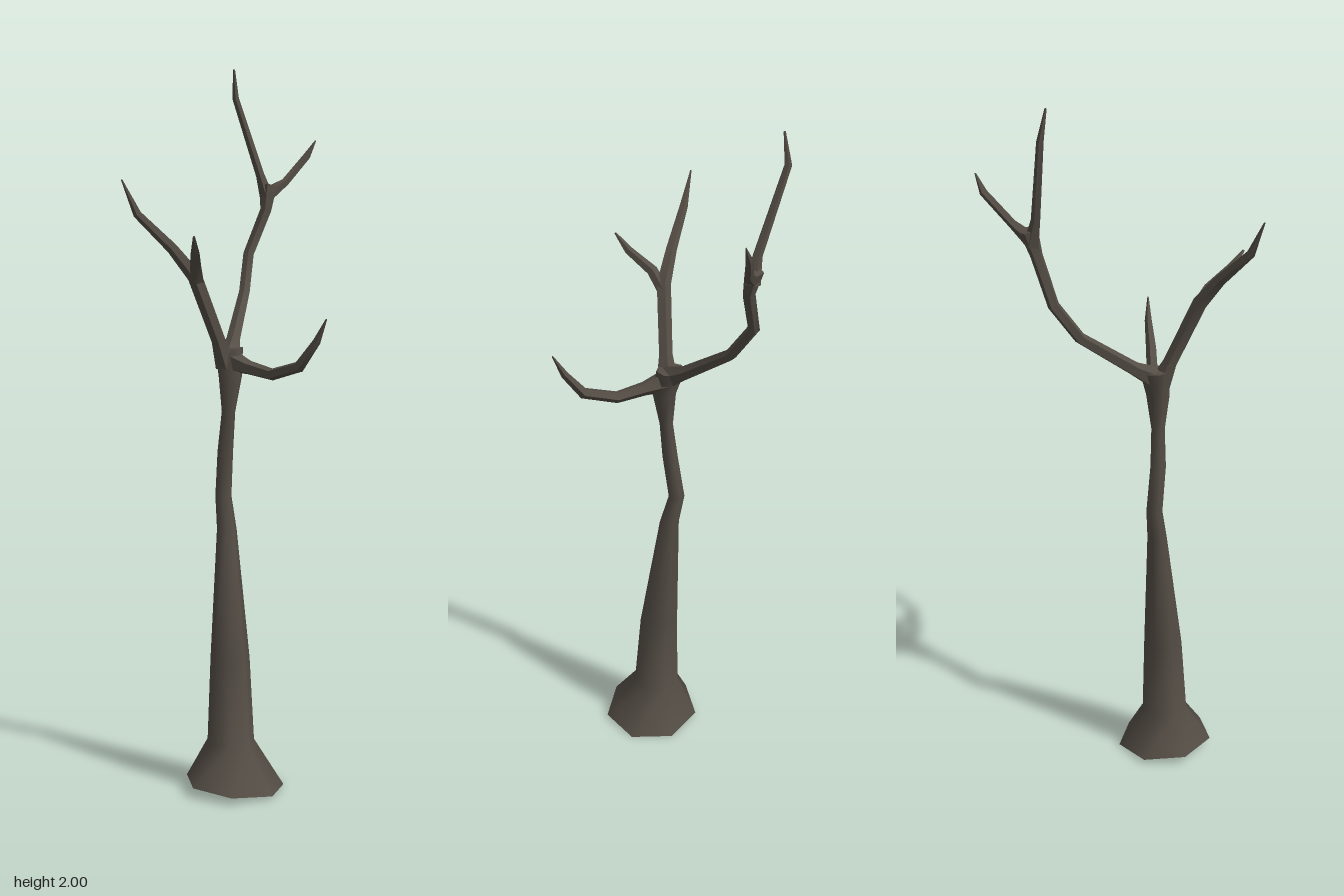
import * as THREE from 'three';
import { toCreasedNormals } from 'three/addons/utils/BufferGeometryUtils.js';

const bark = new THREE.MeshStandardMaterial({ color: 0x544d45 });
bark.name = 'bark';

// Sweeps a polygon ring along points [x, y, z, radius]; level keeps every ring horizontal.
function limb(name, path, sides, { phase = 0, level = false, shape } = {}) {
  const centres = path.map(([x, y, z]) => new THREE.Vector3(x, y, z));
  const last = centres.length - 1;
  const tangent = new THREE.Vector3(0, 1, 0);
  const u = new THREE.Vector3(1, 0, 0);
  const rings = centres.map((c, i) => {
    if (!level) {
      const next = centres[Math.min(i + 1, last)].clone().sub(centres[Math.min(i, last - 1)]).normalize();
      if (i > 0 && i < last) next.add(c.clone().sub(centres[i - 1]).normalize()).normalize();
      u.applyQuaternion(new THREE.Quaternion().setFromUnitVectors(tangent, next));
      tangent.copy(next);
    }
    const v = new THREE.Vector3().crossVectors(tangent, u);
    return Array.from({ length: sides }, (_, k) => {
      const a = phase + (k / sides) * Math.PI * 2;
      const p = c.clone()
        .addScaledVector(u, Math.cos(a) * path[i][3])
        .addScaledVector(v, Math.sin(a) * path[i][3]);
      if (shape) shape(p, i);
      return p;
    });
  });

  const pos = [];
  const tri = (...corners) => corners.forEach((p) => pos.push(p.x, p.y, p.z));
  for (let k = 0; k < sides; k++) {
    const n = (k + 1) % sides;
    for (let i = 0; i < last; i++) {
      const [a, b, c, d] = [rings[i][k], rings[i][n], rings[i + 1][n], rings[i + 1][k]];
      tri(a, b, c);
      tri(a, c, d);
    }
    tri(centres[0], rings[0][n], rings[0][k]);
    tri(centres[last], rings[last][k], rings[last][n]);
  }
  const geo = new THREE.BufferGeometry();
  geo.setAttribute('position', new THREE.Float32BufferAttribute(pos, 3));
  const mesh = new THREE.Mesh(toCreasedNormals(geo, 1.05), bark);
  mesh.name = name;
  return mesh;
}

export function createModel() {
  const tree = new THREE.Group();
  tree.name = 'bareTree';

  // Seven-sided trunk with a flared, slightly tilted foot and a wider crotch
  tree.add(limb('trunk', [
    [-0.062, 0.015, 0.075, 0.14],
    [-0.067, 0.135, 0.06, 0.067],
    [-0.064, 0.37, 0.05, 0.056],
    [-0.057, 0.73, 0.017, 0.028],
    [-0.057, 0.82, -0.004, 0.023],
    [-0.06, 0.95, 0.015, 0.022],
    [-0.055, 1.06, 0.025, 0.019],
    [-0.052, 1.16, 0.03, 0.033],
    [-0.048, 1.235, 0.012, 0.04],
  ], 7, {
    phase: -1.19,
    level: true,
    shape: (p, i) => { if (i === 0) p.y -= (p.x + 0.065) * 0.1; },
  }));

  const branches = {
    // Branch on the model's right, with a small forward fork
    rightBranch: [
      [-0.06, 1.19, 0.025, 0.032], [-0.088, 1.26, 0.032, 0.02], [-0.165, 1.435, 0.048, 0.021],
      [-0.225, 1.51, 0.035, 0.016], [-0.315, 1.6, 0.013, 0.012], [-0.353, 1.69, -0.002, 0.002],
    ],
    rightTwig: [
      [-0.155, 1.415, 0.045, 0.018], [-0.178, 1.465, 0.08, 0.016],
      [-0.212, 1.505, 0.15, 0.012], [-0.234, 1.545, 0.19, 0.003],
    ],
    // Low branch reaching forward and curling up
    frontBranch: [
      [-0.05, 1.2, 0.02, 0.034], [-0.022, 1.185, 0.08, 0.02], [0.012, 1.172, 0.15, 0.017],
      [0.05, 1.2, 0.235, 0.016], [0.078, 1.27, 0.28, 0.011], [0.091, 1.33, 0.308, 0.002],
    ],
    // Long branch rising to the rear, ending in a fork
    rearBranch: [
      [-0.055, 1.205, 0.025, 0.034], [-0.01, 1.25, -0.035, 0.02], [0.09, 1.37, -0.165, 0.016],
      [0.135, 1.475, -0.227, 0.016], [0.185, 1.6, -0.216, 0.017], [0.2, 1.67, -0.228, 0.026],
    ],
    rearSideTwig: [
      [0.195, 1.645, -0.225, 0.022], [0.25, 1.68, -0.221, 0.012],
      [0.325, 1.755, -0.228, 0.011], [0.35, 1.8, -0.221, 0.002],
    ],
    rearTopTwig: [
      [0.195, 1.63, -0.224, 0.022], [0.176, 1.7, -0.234, 0.013],
      [0.128, 1.92, -0.297, 0.01], [0.117, 2.0, -0.285, 0.003],
    ],
  };
  for (const [name, path] of Object.entries(branches)) tree.add(limb(name, path, 5, { phase: 0.4 }));

  return tree;
}
